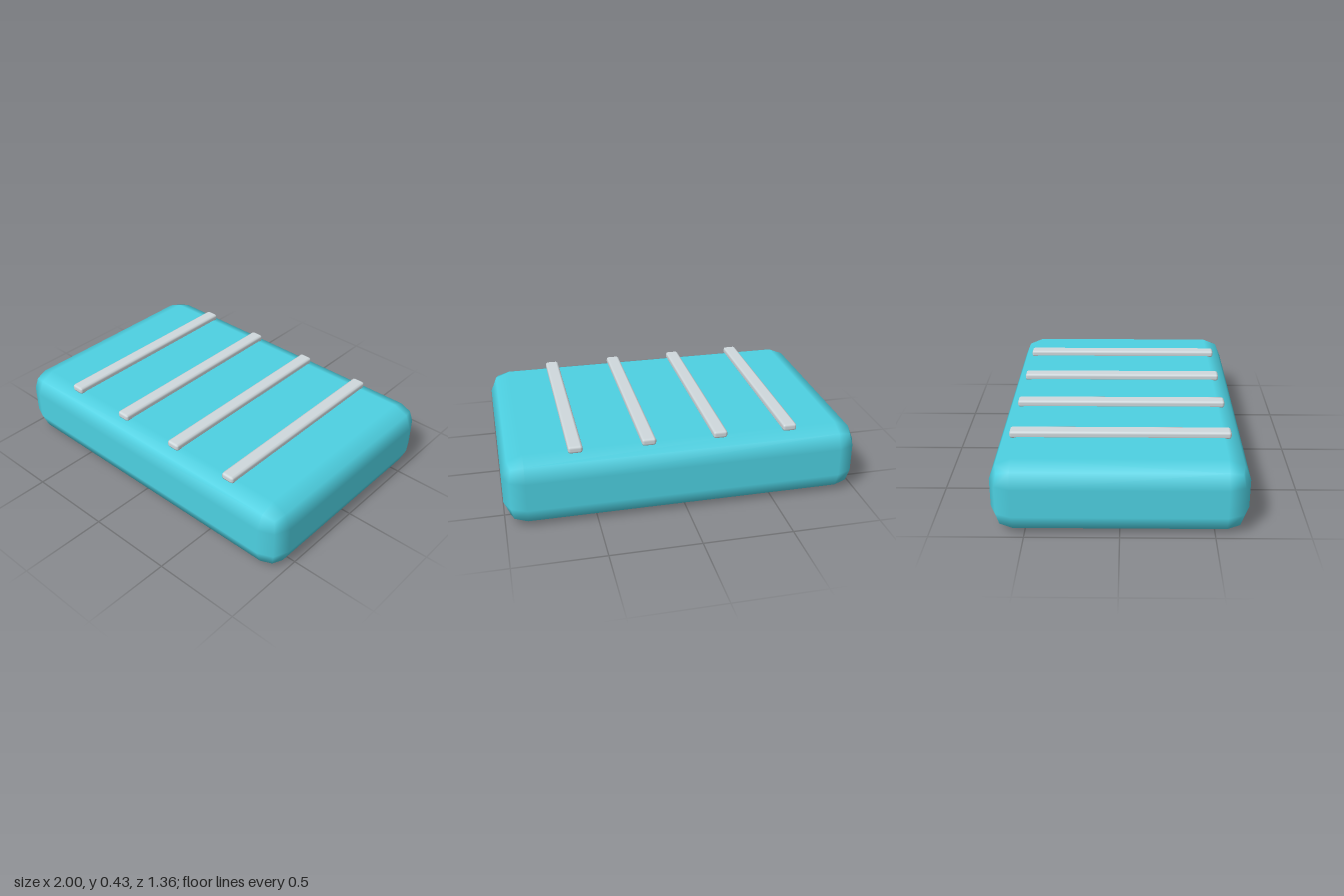
import * as THREE from 'three';
import { RoundedBoxGeometry } from 'three/addons/geometries/RoundedBoxGeometry.js';

export function createModel() {
  const model = new THREE.Group();
  const bodyMaterial = new THREE.MeshStandardMaterial({ color: 0x4dd0e1 });
  const slatMaterial = new THREE.MeshStandardMaterial({ color: 0xcfd8dc });

  // Rounded slab standing on the ground
  const body = new THREE.Mesh(new RoundedBoxGeometry(2, 0.4, 1.36, 1, 0.12), bodyMaterial);
  body.name = 'body';
  body.position.y = 0.2;
  model.add(body);

  // Four parallel slats, slightly sunk into the top
  const slats = new THREE.Group();
  slats.name = 'slats';
  const slatGeometry = new RoundedBoxGeometry(0.08, 0.042, 1.2, 1, 0.015);
  [-0.6, -0.2, 0.2, 0.6].forEach((x, i) => {
    const slat = new THREE.Mesh(slatGeometry, slatMaterial);
    slat.name = `slat${i + 1}`;
    slat.position.set(x, 0.411, 0);
    slats.add(slat);
  });
  model.add(slats);

  return model;
}
